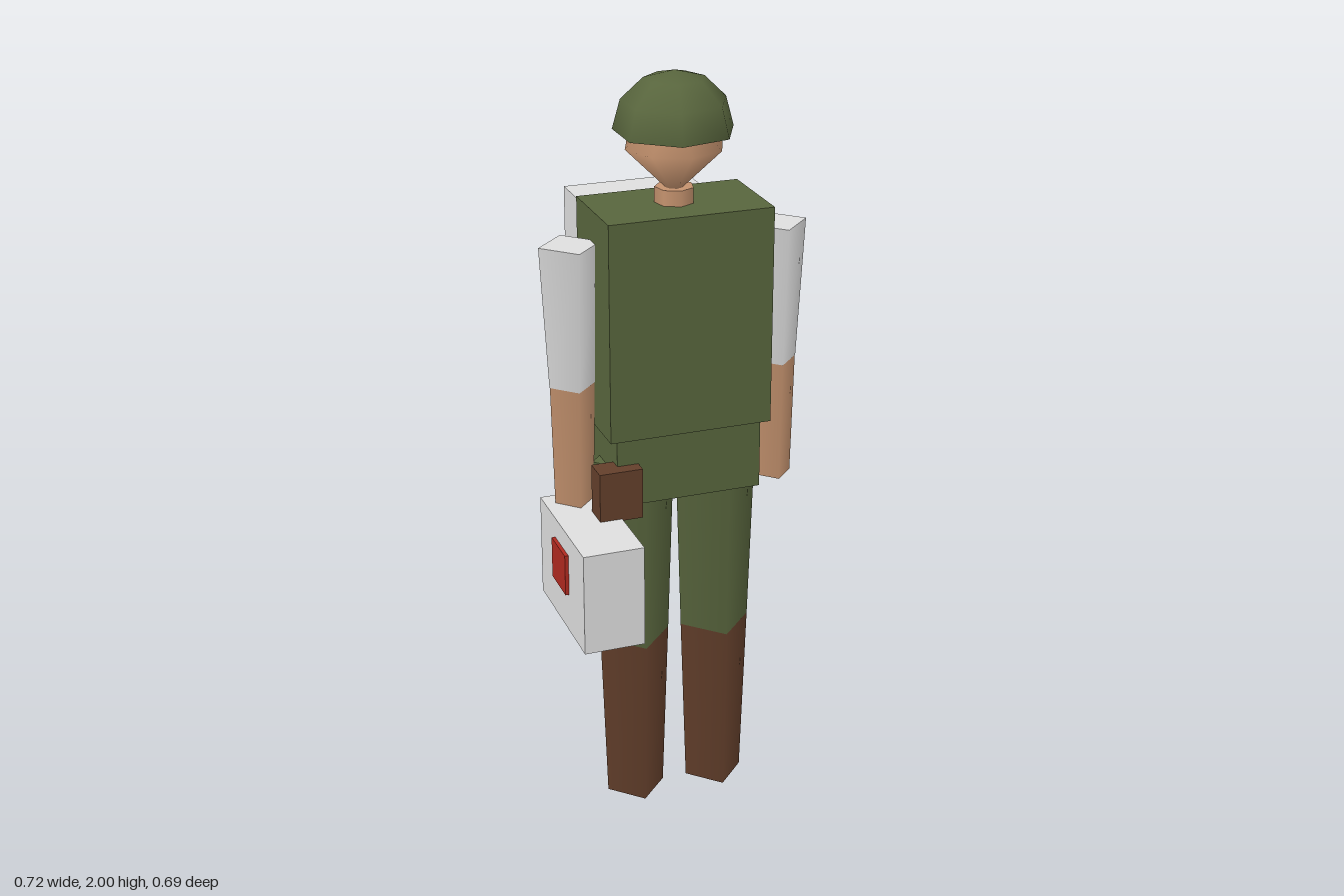
import * as THREE from 'three';

const mat = (name, color) => {
  const m = new THREE.MeshStandardMaterial({ color });
  m.name = name;
  return m;
};

export function createModel() {
  const olive = mat('olive', 0x58653d);
  const skin = mat('skin', 0xc4926e);
  const brown = mat('brown', 0x633f2b);
  const white = mat('white', 0xdedede);
  const red = mat('red', 0xb02a20);
  const model = new THREE.Group();
  model.name = 'soldier';
  const cx = 0.005, cz = 0.027; // body axis

  const add = (name, geometry, material, x, y, z) => {
    const mesh = new THREE.Mesh(geometry, material);
    mesh.name = name;
    mesh.position.set(x, y, z);
    model.add(mesh);
    return mesh;
  };
  // box given by its extents along each axis
  const box = (name, material, x0, x1, y0, y1, z0, z1) =>
    add(name, new THREE.BoxGeometry(x1 - x0, y1 - y0, z1 - z0), material,
      (x0 + x1) / 2, (y0 + y1) / 2, (z0 + z1) / 2);
  // upright prism, tapered between two heights
  const prism = (name, material, x, z, y0, y1, r0, r1, sides) =>
    add(name, new THREE.CylinderGeometry(r1, r0, y1 - y0, sides), material, x, (y0 + y1) / 2, z);

  // helmet: open seven-sided dome with a corner toward +x
  const dome = new THREE.SphereGeometry(0.154, 7, 3, 0, Math.PI * 2, 0, Math.PI / 2);
  dome.rotateY(Math.PI).scale(1, 0.975, 1);
  const helmetOlive = olive.clone();
  helmetOlive.name = 'helmet olive';
  helmetOlive.side = THREE.DoubleSide;
  add('helmet', dome, helmetOlive, 0.004, 1.85, cz);

  // head: double cone, and neck
  const head = add('head', new THREE.SphereGeometry(0.127, 8, 2), skin, 0.002, 1.815, 0.028);
  head.scale.z = 1.03;
  prism('neck', skin, cx, 0.023, 1.66, 1.71, 0.05, 0.05, 7);

  // body
  box('torso', olive, -0.21, 0.22, 1.10, 1.67, -0.1, 0.152);
  box('hips', olive, -0.19, 0.197, 0.917, 1.10, -0.085, 0.14);

  for (const [side, s] of [['left', 1], ['right', -1]]) {
    // legs: one straight taper, boot colour below the knee
    const legX = cx + s * 0.114;
    prism(side + 'Boot', brown, legX, cz, 0, 0.48, 0.08, 0.096, 4);
    prism(side + 'Trouser', olive, legX, cz, 0.48, 1.0, 0.096, 0.112, 4);
    // arms
    const armX = cx + s * 0.274;
    prism(side + 'Sleeve', white, armX, cz, 1.22, 1.59, 0.06, 0.08, 4);
    prism(side + 'Forearm', skin, armX, cz, 0.895, 1.22, 0.052, 0.059, 4);
  }

  // belt gear
  box('beltPouch', brown, -0.248, -0.134, 0.895, 1.03, 0.107, 0.175);
  prism('canteen', olive, 0.217, -0.034, 0.895, 1.05, 0.07, 0.07, 5).rotation.y = 0.3;

  // carried gear
  box('backpack', white, -0.166, 0.175, 1.145, 1.62, -0.348, -0.145);
  box('handCase', white, -0.348, -0.19, 0.63, 0.9, -0.018, 0.345);
  box('casePatch', red, -0.3575, -0.348, 0.735, 0.845, 0.108, 0.22);

  return model;
}
